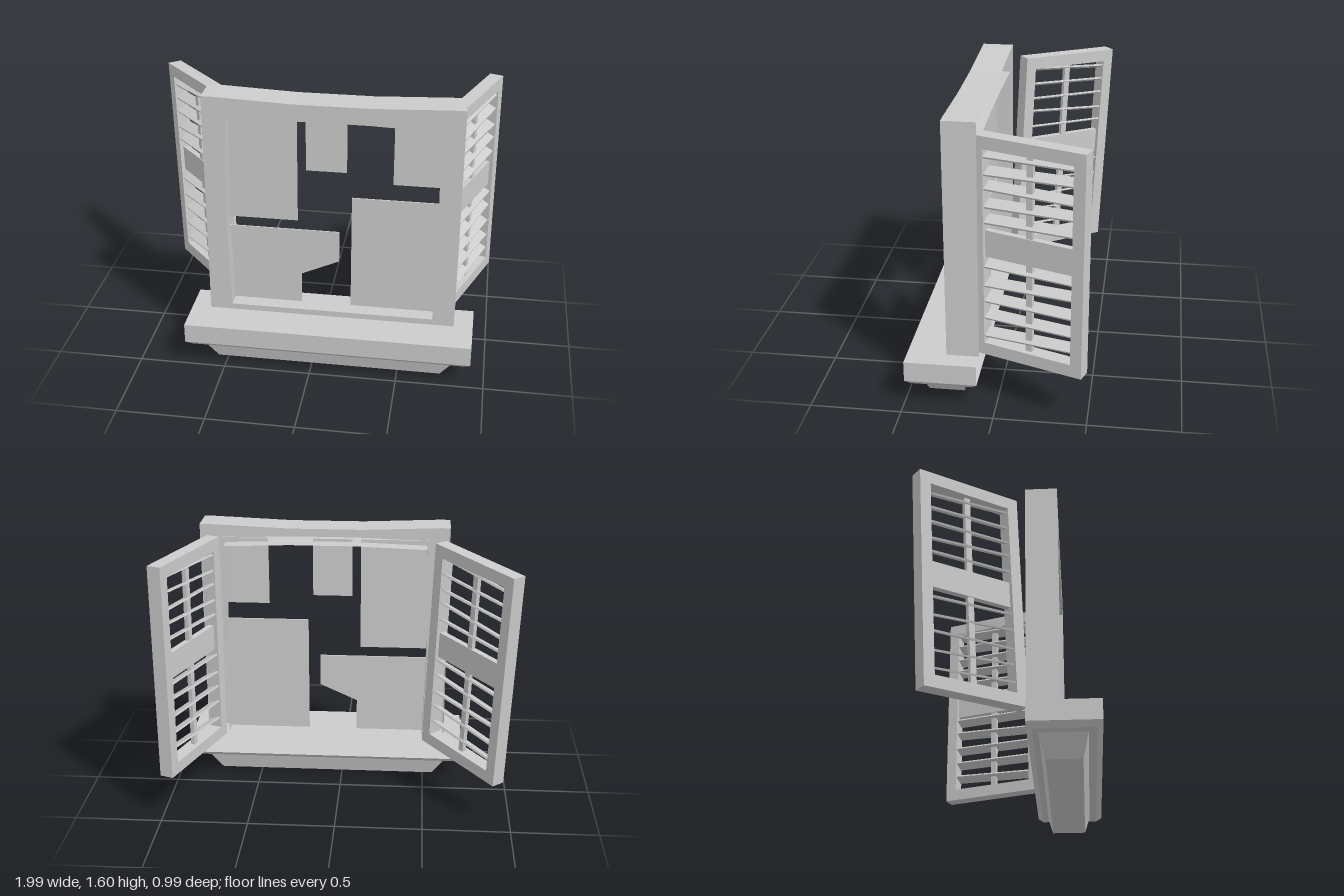
import * as THREE from 'three';

const grey = new THREE.MeshStandardMaterial({ color: 0xcccccc, flatShading: true, side: THREE.DoubleSide });
const CX = 0.095; // middle of the window opening

function mesh(name, geometry, parent, x = 0, y = 0, z = 0) {
  const m = new THREE.Mesh(geometry, grey);
  m.name = name;
  m.position.set(x, y, z);
  parent.add(m);
  return m;
}

// Drops every triangle lying wholly on the plane z = zBack
function openBack(geometry, zBack) {
  const src = geometry.index ? geometry.toNonIndexed() : geometry;
  const p = src.attributes.position, out = [];
  for (let i = 0; i < p.count; i += 3) {
    if ([0, 1, 2].every(k => Math.abs(p.getZ(i + k) - zBack) < 1e-4)) continue;
    for (let k = 0; k < 3; k++) out.push(p.getX(i + k), p.getY(i + k), p.getZ(i + k));
  }
  const g = new THREE.BufferGeometry();
  g.setAttribute('position', new THREE.Float32BufferAttribute(out, 3));
  g.computeVertexNormals();
  return g;
}

// Box whose bottom is inset by dx and dz on each side
function taperedBox(w, h, d, dx, dz) {
  const g = new THREE.BoxGeometry(w, h, d), p = g.attributes.position;
  for (let i = 0; i < p.count; i++) {
    if (p.getY(i) > 0) continue;
    p.setX(i, p.getX(i) - Math.sign(p.getX(i)) * dx);
    p.setZ(i, p.getZ(i) - Math.sign(p.getZ(i)) * dz);
  }
  g.computeVertexNormals();
  return g;
}

const toPoints = list => list.map(([x, y]) => new THREE.Vector2(x, y));

function extrude(points, depth, hole) {
  const shape = new THREE.Shape(toPoints(points));
  if (hole) shape.holes.push(new THREE.Path(toPoints(hole)));
  return new THREE.ExtrudeGeometry(shape, { depth, bevelEnabled: false });
}

// Louvred shutter centred on its own origin, outer side facing +z
function makeShutter(name, phase) {
  const g = new THREE.Group();
  g.name = name;
  const W = 0.636, H = 1.25, T = 0.08, stile = 0.065, rail = 0.07;
  const w = W / 2, h = H / 2, iw = w - stile, ih = h - rail;
  mesh('shutterFrame', extrude(
    [[-w, -h], [w, -h], [w, h], [-w, h]], T,
    [[-iw, -ih], [-iw, ih], [iw, ih], [iw, -ih]]), g, 0, 0, -T / 2);
  mesh('middleRail', new THREE.BoxGeometry(iw * 2, 0.15, 0.035), g, 0, 0.025, 0);
  mesh('tiltRod', new THREE.BoxGeometry(0.036, ih * 2, 0.025), g);

  // Slats slope down to the outside and hang slightly crooked
  for (let i = 0; i < 10; i++) {
    const upper = i < 5;
    const y = upper ? 0.53 - i * 0.09 : -0.09 - (i - 5) * 0.1;
    const slat = mesh('slat', new THREE.BoxGeometry(iw * 2 + 0.01, 0.011, 0.068), g, 0, y, 0);
    slat.rotation.order = 'ZXY';
    slat.rotation.x = 0.42;
    slat.rotation.z = 0.035 + 0.025 * Math.sin(i * 2.3 + phase);
  }
  return g;
}

export function createModel() {
  const model = new THREE.Group();
  model.name = 'shutteredWindow';

  // Surround with a sagging lintel, hollow at the back
  const outer = [[-0.62, 0.26], [0.81, 0.26], [0.81, 1.6], [0.75, 1.6], [0.3, 1.582], [-0.12, 1.582], [-0.56, 1.6], [-0.62, 1.6]];
  const inner = [[-0.49, 0.295], [-0.505, 0.85], [-0.49, 1.47], [-0.08, 1.484], [0.3, 1.484], [0.68, 1.47], [0.697, 0.85], [0.685, 0.295]];
  mesh('windowSurround', openBack(extrude(outer, 0.18, inner), 0), model, 0, 0, 0.1);

  // Sill, its chamfer and the bracket below
  mesh('sill', openBack(new THREE.BoxGeometry(1.65, 0.115, 0.395), -0.1975), model, CX, 0.2025, 0.2975);
  mesh('sillChamfer', taperedBox(1.65, 0.03, 0.395, 0.03, 0.032), model, CX, 0.13, 0.2975);
  mesh('sillBracket', taperedBox(1.475, 0.115, 0.255, 0.085, 0.03), model, CX, 0.0575, 0.2925);

  // Remains of the broken panes
  const panes = [
    [[-0.505, 0.835], [-0.11, 0.835], [-0.11, 1.5], [-0.505, 1.5]],
    [[-0.06, 1.155], [0.17, 1.155], [0.17, 1.5], [-0.06, 1.5]],
    [[0.43, 1.1], [0.695, 1.1], [0.695, 1.5], [0.43, 1.5]],
    [[-0.505, 0.285], [-0.09, 0.285], [-0.09, 0.485], [0.13, 0.585], [0.13, 0.775], [-0.505, 0.775]],
    [[0.2, 0.285], [0.7, 0.285], [0.7, 1.0], [0.2, 1.0]],
  ];
  for (const pane of panes) mesh('brokenPane', extrude(pane, 0.008), model, 0, 0, 0.186);

  // Shutters swung open behind; the right one hangs askew
  const left = makeShutter('leftShutter', 0);
  left.position.set(0.849, 0.9, -0.179);
  left.rotation.y = THREE.MathUtils.degToRad(70);
  const right = makeShutter('rightShutter', 1);
  right.position.set(-0.744, 0.898, -0.192);
  right.rotation.order = 'YXZ';
  right.rotation.set(0, THREE.MathUtils.degToRad(-51), THREE.MathUtils.degToRad(3.3));
  model.add(left, right);

  return model;
}
